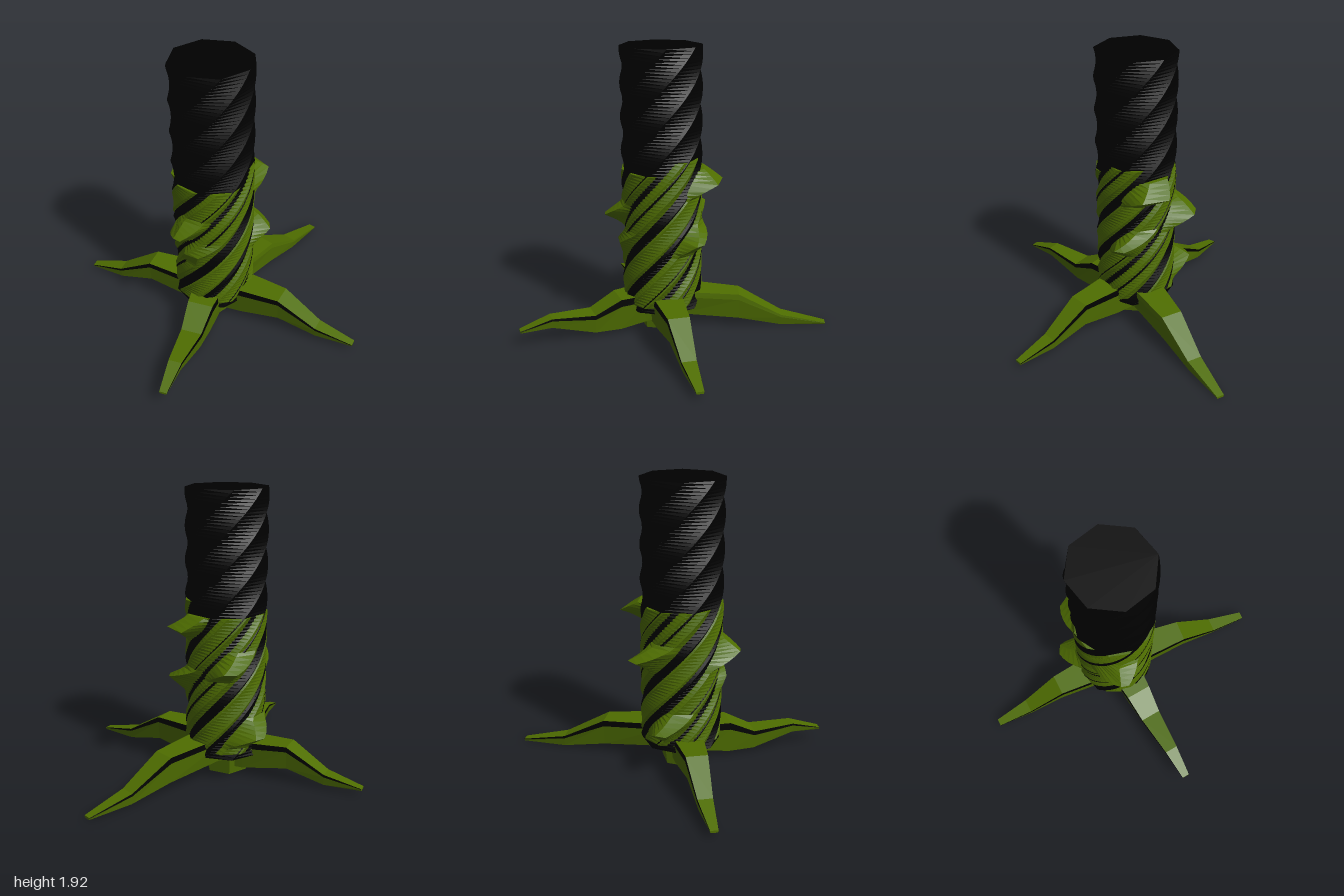
import * as THREE from 'three';

const CX = -0.062, CZ = 0.125;            // trunk axis
const deg = THREE.MathUtils.degToRad, lerp = THREE.MathUtils.lerp;
const TWIST = deg(204);                   // twist per unit of height

const green = new THREE.MeshStandardMaterial({ color: 0x4f6e00, flatShading: true });
green.name = 'mossGreen';
const black = new THREE.MeshStandardMaterial({ color: 0x000000, flatShading: true });
black.name = 'charBlack';

// point around the trunk axis, angle 0 facing front and growing toward +x
const polar = (a, r, y) => new THREE.Vector3(CX + Math.sin(a) * r, y, CZ + Math.cos(a) * r);

// skin closed rings of points; dark lists the sides that get the black material
function loft(name, rings, base, dark = []) {
  const pos = [], geo = new THREE.BufferGeometry(), n = rings[0].length;
  const tri = (...pts) => pts.forEach(p => pos.push(p.x, p.y, p.z));
  const group = (start, mat) => geo.addGroup(start, pos.length / 3 - start, mat);
  for (let j = 0; j < n; j++) {
    const start = pos.length / 3, k = (j + 1) % n;
    for (let i = 0; i + 1 < rings.length; i++) {
      const a = rings[i][j], b = rings[i][k], c = rings[i + 1][k], d = rings[i + 1][j];
      tri(a, b, d);
      tri(b, c, d);
    }
    group(start, dark.includes(j) ? 1 : 0);
  }
  const start = pos.length / 3, first = rings[0], last = rings[rings.length - 1];
  for (let j = 1; j + 1 < n; j++) {
    tri(first[0], first[j + 1], first[j]);
    tri(last[0], last[j], last[j + 1]);
  }
  group(start, 0);
  geo.setAttribute('position', new THREE.Float32BufferAttribute(pos, 3));
  geo.computeVertexNormals();
  const mesh = new THREE.Mesh(geo, [base, black]);
  mesh.name = name;
  return mesh;
}

// twisted octagonal core
function makeTrunk() {
  const rings = [];
  for (let i = 0; i <= 88; i++) {
    const y = 0.16 + i * 0.02;
    rings.push(Array.from({ length: 8 }, (_, k) =>
      polar(deg(90 + k * 45) + (y - 1.84) * TWIST, 0.268, y)));
  }
  return loft('trunk', rings, black);
}

// strand spiralling up the trunk; thorns are [height, angle offset, radius, half width]
function makeStrand(phase, top, thorns) {
  const rings = [], steps = Math.round((top - 0.2) / 0.02);
  for (let i = 0; i <= steps; i++) {
    const y = 0.2 + i * 0.02, a = deg(phase) + y * TWIST;
    let off = 0, r = 0.27, w = 14;
    for (const [ty, tOff, tr, tw] of thorns) {
      const f = Math.max(0, 1 - Math.abs(y - ty) / 0.09);
      off = lerp(off, tOff, f);
      r = lerp(r, tr, f);
      w = lerp(w, tw, f);
    }
    rings.push([polar(a - deg(30), 0.244, y), polar(a + deg(off - w), r, y),
      polar(a + deg(off + w), r, y), polar(a + deg(30), 0.244, y)]);
  }
  return loft('vineStrand', rings, green);
}

// tapering root from the trunk to its tip; profile rows are [fraction, bottom, top]
function makeRoot(name, tipX, tipZ, dark, profile) {
  const start = new THREE.Vector3(-0.045, 0, 0.13);
  const tip = new THREE.Vector3(tipX, 0, tipZ);
  const d = tip.clone().sub(start).normalize();
  const side = new THREE.Vector3(d.z, 0, -d.x);
  const rings = profile.map(([t, y0, y1]) => {
    const c = start.clone().lerp(tip, t);
    const w = lerp(0.12, 0.026, t);
    const ym = lerp(y0, y1, 0.78);
    const at = (s, y) => c.clone().addScaledVector(side, s * w).setY(y);
    return [at(-0.8, y0), at(0.8, y0), at(1, ym), at(0.97, y1), at(-0.97, y1), at(-1, ym)];
  });
  return loft(name, rings, green, dark);
}

export function createModel() {
  const model = new THREE.Group();
  model.name = 'twistedTrunk';
  model.add(makeTrunk());

  // six strands, some with thorny swellings
  const strands = [
    [320, 1.12, [[1.04, 4, 0.405, 13]]],
    [20, 1.12, [[0.66, -14, 0.38, 5]]],
    [80, 1.12, [[0.8, -6, 0.41, 6]]],
    [140, 1.12, []],
    [200, 1.12, [[0.34, -2, 0.4, 5], [0.8, 8, 0.385, 4]]],
    [260, 1.2, [[0.62, -8, 0.3, 10]]],
  ];
  const vines = new THREE.Group();
  vines.name = 'vines';
  strands.forEach(s => vines.add(makeStrand(...s)));
  model.add(vines);

  // spreading roots with dark upper flanks
  model.add(
    makeRoot('leftRoot', 0.92, -0.25, [2, 4],
      [[0, 0.05, 0.25], [0.22, 0.06, 0.27], [0.49, 0.1, 0.265], [0.75, 0.035, 0.105], [1, 0.035, 0.05]]),
    makeRoot('rightRoot', -0.92, 0.58, [2, 4],
      [[0, 0.05, 0.22], [0.18, 0.05, 0.24], [0.49, 0.1, 0.255], [0.75, 0.03, 0.105], [1, 0.035, 0.05]]),
    makeRoot('backRoot', -0.165, -1, [2],
      [[0, 0.08, 0.26], [0.12, 0.1, 0.27], [0.47, 0.06, 0.24], [0.73, 0.005, 0.08], [1, 0, 0.015]]),
    makeRoot('frontRoot', 0.445, 0.99, [2, 4],
      [[0, 0.08, 0.24], [0.15, 0.06, 0.26], [0.32, 0.03, 0.25], [0.5, 0.03, 0.16], [0.79, 0.11, 0.175], [1, 0.1, 0.115]]),
  );

  // stump under the trunk
  const base = new THREE.Mesh(new THREE.CylinderGeometry(0.17, 0.145, 0.18, 6), green);
  base.name = 'stump';
  base.position.set(-0.06, 0.09, 0.14);
  model.add(base);
  return model;
}
